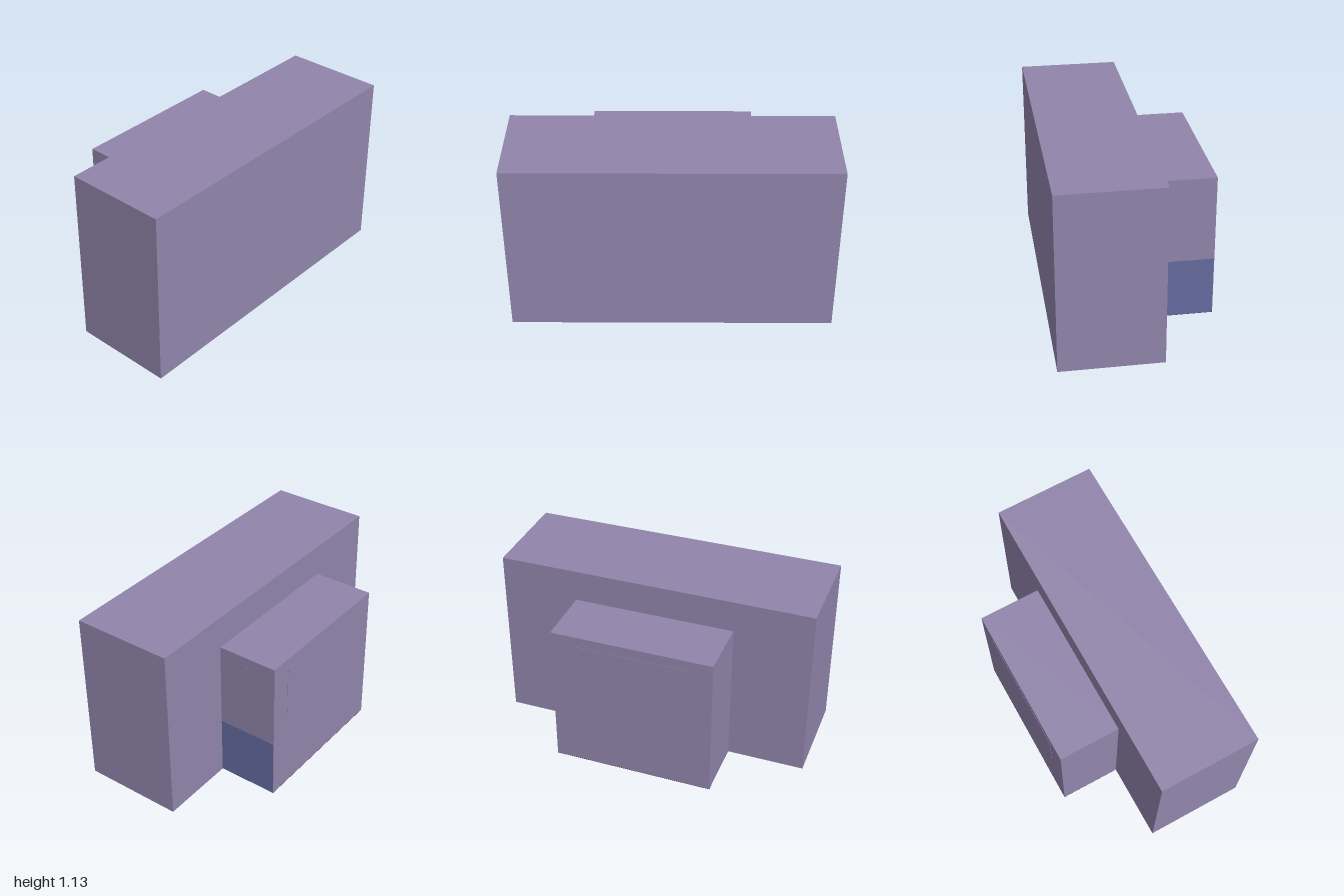
import * as THREE from 'three';

export function createModel() {
  const model = new THREE.Group();
  const material = (name, color) => {
    const m = new THREE.MeshStandardMaterial({ color });
    m.name = name;
    return m;
  };
  const purple = material('dusty purple', 0x9185ab);
  const blue = material('slate blue', 0x666ca0);
  const plum = material('dark plum', 0x482a44);

  // Box given by its minimum and maximum corners
  const box = (name, mat, [x0, y0, z0], [x1, y1, z1]) => {
    const mesh = new THREE.Mesh(new THREE.BoxGeometry(x1 - x0, y1 - y0, z1 - z0), mat);
    mesh.name = name;
    mesh.position.set((x0 + x1) / 2, (y0 + y1) / 2, (z0 + z1) / 2);
    model.add(mesh);
  };

  // Wide front body and the smaller housing behind it
  box('frontBody', purple, [-1, 0, -0.122], [1, 1.13, 0.512]);
  box('rearHousing', purple, [-0.51, 0.002, -0.51], [0.51, 0.928, -0.122]);

  // Thin panels on the housing: back, one side and underside
  box('backPanel', purple, [-0.375, 0.535, -0.512], [0.375, 0.862, -0.51]);
  box('sidePanel', blue, [0.51, 0.002, -0.508], [0.511, 0.383, -0.122]);
  box('undersidePanel', plum, [-0.51, 0, -0.51], [0.51, 0.002, -0.122]);

  // Tiny pin on each side of the housing
  for (const side of [-1, 1]) {
    box('sidePin', purple, [side * 0.51 - 0.002, 0.858, -0.318], [side * 0.51 + 0.002, 0.862, -0.312]);
  }
  return model;
}
